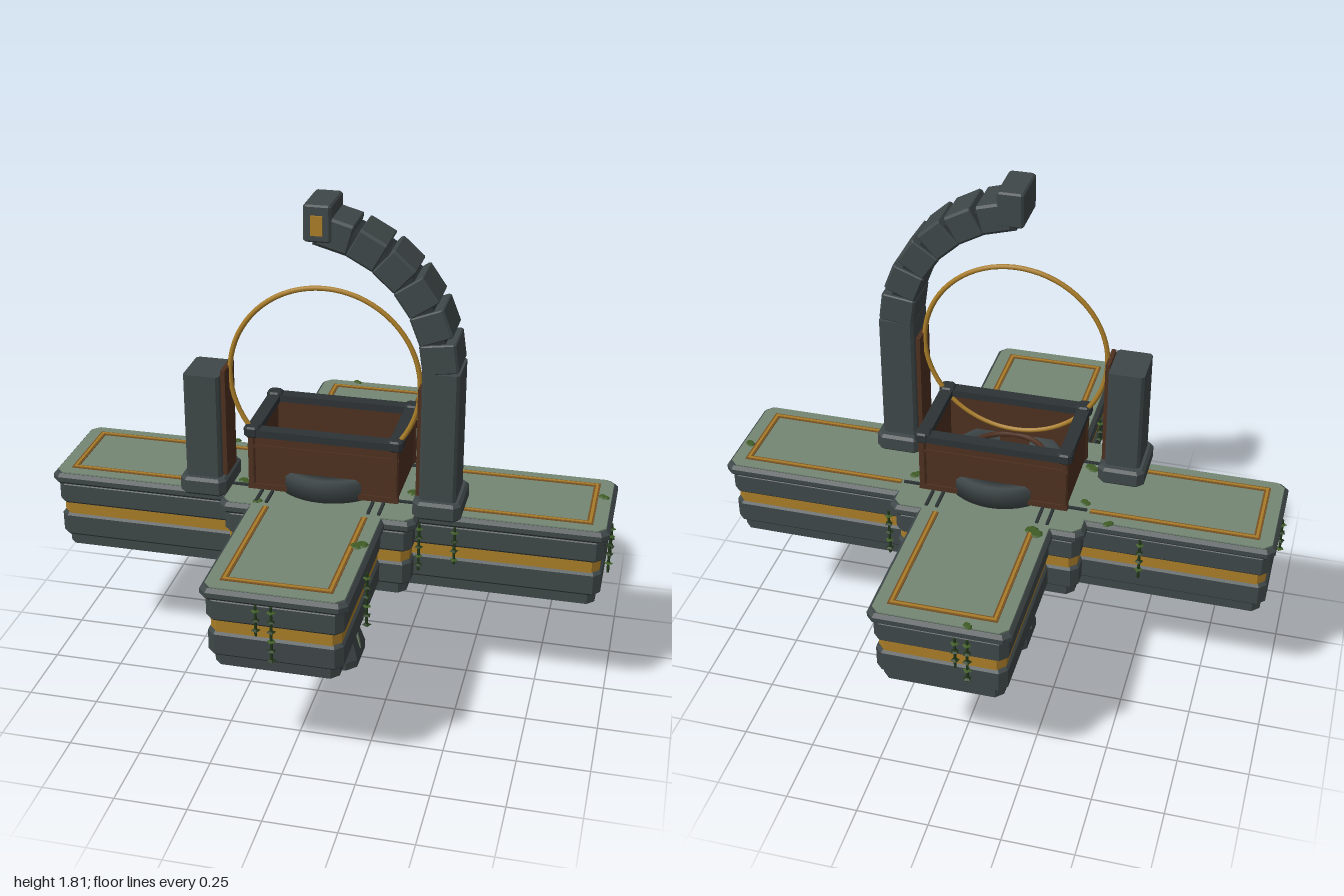
import * as THREE from 'three';

const mat = (name, color) => {
  const m = new THREE.MeshStandardMaterial({ color });
  m.name = name;
  return m;
};

export function createModel() {
  const root = new THREE.Group();
  root.name = 'crossShrine';
  const stone = mat('slate stone', 0x3f4748);
  const rimStone = mat('dark rim stone', 0x2d3336);
  const sage = mat('sage paving', 0x748873);
  const gold = mat('gold', 0xa97d28);
  const bronze = mat('bronze inlay', 0x7a5222);
  const wood = mat('brown panel', 0x4e3020);
  const vineMat = mat('vine', 0x22381a);
  const moss = mat('moss', 0x3f5c26);
  const plateMat = mat('drain plate', 0x4f5f53);

  const add = (name, geo, material, x = 0, y = 0, z = 0, parent = root) => {
    const m = new THREE.Mesh(geo, material);
    m.name = name;
    m.position.set(x, y, z);
    parent.add(m);
    return m;
  };
  const box = (name, w, h, d, material, x, y, z, parent) =>
    add(name, new THREE.BoxGeometry(w, h, d), material, x, y, z, parent);

  // Vertical extrusion of a plan outline; bevel stays inside the outline
  const rise = (pts, h, bevel = 0) => {
    const g = new THREE.ExtrudeGeometry(new THREE.Shape(pts), {
      depth: h - 2 * bevel, bevelEnabled: bevel > 0, bevelThickness: bevel,
      bevelSize: bevel, bevelOffset: -bevel, bevelSegments: 1,
    });
    g.translate(0, 0, bevel);
    return g.rotateX(-Math.PI / 2);
  };
  // Rectangle with cut corners
  const octagon = (w, d, c) => {
    const x = w / 2, z = d / 2;
    return [[x, c - z], [x, z - c], [x - c, z], [c - x, z], [-x, z - c], [-x, c - z], [c - x, -z], [x - c, -z]]
      .map(p => new THREE.Vector2(...p));
  };
  const post = (name, w, d, y0, y1, c, material, x = 0, z = 0, bevel = 0) =>
    add(name, rise(octagon(w, d, c), y1 - y0, bevel), material, x, y0, z);

  // Cross plan with a square-shouldered hub and cut outer corners
  const cross = (i) => {
    const L = 0.985 - i, W = 0.205 - i, hx = 0.345 - i, hz = 0.28 - i, A = 0.24 - i, Z = 0.843 - i, c = 0.025;
    const q = [[L, W - c], [L - c, W], [hx, W], [hx, hz - c], [hx - c, hz], [A, hz], [A, Z - c], [A - c, Z]];
    const flip = (sx, sz, rev) => (rev ? [...q].reverse() : q).map(([x, z]) => new THREE.Vector2(x * sx, z * sz));
    return [...flip(1, 1), ...flip(-1, 1, true), ...flip(-1, -1), ...flip(1, -1, true)];
  };
  const layers = [
    ['platformFoot', 0.035, 0.445, 0.49, stone, 0],
    ['lowerWall', 0.018, 0.485, 0.575, stone, 0.01],
    ['goldBand', 0.026, 0.57, 0.62, gold, 0],
    ['upperWall', 0.015, 0.615, 0.7, stone, 0.01],
    ['platformLip', 0, 0.697, 0.738, stone, 0.012],
    ['pavedTop', 0.014, 0.737, 0.742, sage, 0],
  ];
  for (const [name, inset, y0, y1, m, b] of layers) add(name, rise(cross(inset), y1 - y0, b), m, 0, y0, 0);

  // U-shaped inlays on the four arms
  const inlay = (along, half, from, to) => {
    const g = new THREE.Group();
    g.name = 'armInlay';
    for (const [w, y, m] of [[0.022, 0.743, bronze], [0.009, 0.745, gold]]) {
      for (const s of [-1, 1]) box('inlaySide', to - from, 0.004, w, m, (from + to) / 2, y, s * half, g);
      box('inlayEnd', w, 0.004, half * 2 + w, m, to, y, 0, g);
    }
    g.rotation.y = along;
    root.add(g);
  };
  for (const s of [0, 1]) {
    inlay(s * Math.PI, 0.14, 0.34, 0.915);
    inlay(Math.PI / 2 + s * Math.PI, 0.172, 0.28, 0.772);
  }

  // Stem with flared foot, side fins and studs
  post('stem', 0.13, 0.13, 0.14, 0.446, 0.02, stone);
  post('stemBase', 0.21, 0.21, 0, 0.03, 0.035, stone);
  const flare = rise(octagon(0.21, 0.21, 0.035), 0.135);
  const fp = flare.attributes.position;
  for (let i = 0; i < fp.count; i++) {
    if (fp.getY(i) > 0.06) fp.setXYZ(i, fp.getX(i) * 0.62, fp.getY(i), fp.getZ(i) * 0.62);
  }
  flare.computeVertexNormals();
  add('stemFlare', flare, stone, 0, 0.03, 0);
  for (const s of [-1, 1]) {
    const fin = new THREE.ExtrudeGeometry(new THREE.Shape([
      new THREE.Vector2(0.06, 0.04), new THREE.Vector2(0.104, 0.04), new THREE.Vector2(0.066, 0.23), new THREE.Vector2(0.06, 0.23),
    ]), { depth: 0.012, bevelEnabled: false }).translate(0, 0, -0.006);
    add('stemFin', fin, sage).rotation.y = s > 0 ? 0 : Math.PI;
    for (const t of [-1, 1]) add('stemStud', new THREE.CylinderGeometry(0.013, 0.013, 0.04, 8), wood, s * 0.057, 0.42, t * 0.057);
  }

  // Twin pillars with plinths and inner panels
  for (const [s, top] of [[-1, 1.18], [1, 1.265]]) {
    post('pillarPlinth', 0.165, 0.22, 0.74, 0.805, 0.022, stone, s * 0.408, 0.14, 0.01);
    post('pillar', 0.125, 0.165, 0.8, top, 0.01, stone, s * 0.408, 0.143);
    box('pillarPanel', 0.016, 0.39, 0.11, wood, s * 0.338, 1.0, 0.143);
  }

  // Curved arm of stacked blocks ending in a lamp head
  for (let i = 0; i < 6; i++) {
    const a = THREE.MathUtils.degToRad(8 + i * 13.3);
    const seg = add('archBlock', rise(octagon(0.122 - i * 0.004, 0.165, 0.008), 0.1, 0.004).translate(0, -0.05, 0), stone,
      -0.07 + 0.475 * Math.cos(a), 1.25 + 0.475 * Math.sin(a), 0.143);
    seg.rotation.z = a;
    const core = box('archCore', 0.08, 0.13, 0.14, rimStone, -0.07 + 0.46 * Math.cos(a), 1.25 + 0.46 * Math.sin(a), 0.143);
    core.rotation.z = a;
  }
  post('lampHead', 0.092, 0.176, 1.685, 1.808, 0.008, stone, 0, 0.147, 0.006);
  box('lampWindow', 0.04, 0.065, 0.008, gold, 0, 1.742, 0.238);

  // Great hoop
  add('hoop', new THREE.TorusGeometry(0.328, 0.009, 8, 72), gold, 0, 1.17, 0.14);

  // Round plinth ring beneath the basin
  const ring = [[0.15, 0.742], [0.21, 0.742], [0.21, 0.805], [0.198, 0.82], [0.15, 0.82], [0.15, 0.742]];
  add('roundStep', new THREE.LatheGeometry(ring.map(p => new THREE.Vector2(...p)), 40), new THREE.MeshStandardMaterial().copy(stone));
  root.children.at(-1).material = stone;
  add('innerRing', new THREE.TorusGeometry(0.145, 0.01, 6, 40).rotateX(Math.PI / 2), wood, 0, 0.815, 0);
  box('drainPlate', 0.16, 0.02, 0.16, plateMat, 0, 0.752, -0.005);
  for (const x of [-1, 1]) for (const z of [-1, 1])
    add('drainBolt', new THREE.CylinderGeometry(0.01, 0.01, 0.01, 8), stone, x * 0.055, 0.766, z * 0.055 - 0.005);

  // Open basin: walls, corner trims and a thick rim
  for (const s of [-1, 1]) {
    box('basinLongWall', 0.52, 0.2, 0.022, wood, 0, 0.855, s * 0.15);
    box('basinEndWall', 0.022, 0.2, 0.28, wood, s * 0.249, 0.855, 0);
    box('basinLongFoot', 0.53, 0.02, 0.012, wood, 0, 0.758, s * 0.162);
    box('basinLongBand', 0.53, 0.012, 0.01, wood, 0, 0.91, s * 0.162);
    box('basinLongRim', 0.5, 0.026, 0.045, rimStone, 0, 0.962, s * 0.152);
    box('basinEndRim', 0.045, 0.026, 0.3, rimStone, s * 0.25, 0.962, 0);
    for (const t of [-1, 1]) {
      post('basinCornerTrim', 0.026, 0.026, 0.75, 0.95, 0.006, wood, s * 0.252, t * 0.155);
      post('basinRimCorner', 0.055, 0.055, 0.945, 0.984, 0.012, rimStone, s * 0.25, t * 0.15, 0.006);
      // Paving slots around the hub
      for (const x of [0.178, 0.215]) box('pavingSlot', 0.01, 0.01, 0.085, rimStone, s * x, 0.745, t * 0.21);
      box('pavingSlotCross', 0.09, 0.008, 0.01, rimStone, s * 0.285, 0.745, t * 0.14);
    }
  }

  // Hanging vines: x, z, length
  const leaf = new THREE.OctahedronGeometry(0.016).scale(1, 0.45, 1);
  const vines = [
    [-0.1, -0.848, 0.17], [-0.06, -0.848, 0.12], [-0.53, -0.21, 0.16], [0.985, 0.06, 0.12], [0.985, 0.11, 0.16],
    [-0.985, 0.03, 0.13], [0.245, 0.57, 0.2], [-0.245, 0.48, 0.2], [-0.05, 0.846, 0.11], [0, 0.846, 0.2],
    [0.47, 0.21, 0.14], [0.348, -0.27, 0.18], [0.348, 0.21, 0.18],
  ];
  for (const [x, z, len] of vines) {
    const v = new THREE.Group();
    v.name = 'hangingVine';
    v.position.set(x, 0.705, z);
    add('vineStem', new THREE.CylinderGeometry(0.005, 0.005, len, 5), vineMat, 0, -len / 2, 0, v);
    for (let y = 0.02, k = 0; y < len; y += 0.035, k++) add('vineLeaf', leaf, k % 3 ? vineMat : moss, 0, -y, 0, v).rotation.y = k;
    root.add(v);
  }

  // Moss clumps on the paving: x, z, radius
  const clumps = [[-0.19, -0.31, 0.026], [-0.42, -0.19, 0.014], [-0.32, -0.1, 0.015], [0.295, -0.08, 0.018], [0.94, -0.06, 0.015],
    [0.185, 0.475, 0.025], [-0.3, 0.105, 0.02], [-0.11, 0.05, 0.016], [0.295, 0.06, 0.02], [-0.215, 0.25, 0.013], [-0.1, -0.825, 0.013]];
  clumps.forEach(([x, z, r], i) => {
    for (const k of [0, 1])
      add('mossClump', new THREE.CylinderGeometry(r * 0.7, r, 0.006, 7), moss, x + k * r * 0.7, 0.744, z - k * r * 0.6 * (i % 2 ? 1 : -1));
  });
  return root;
}
